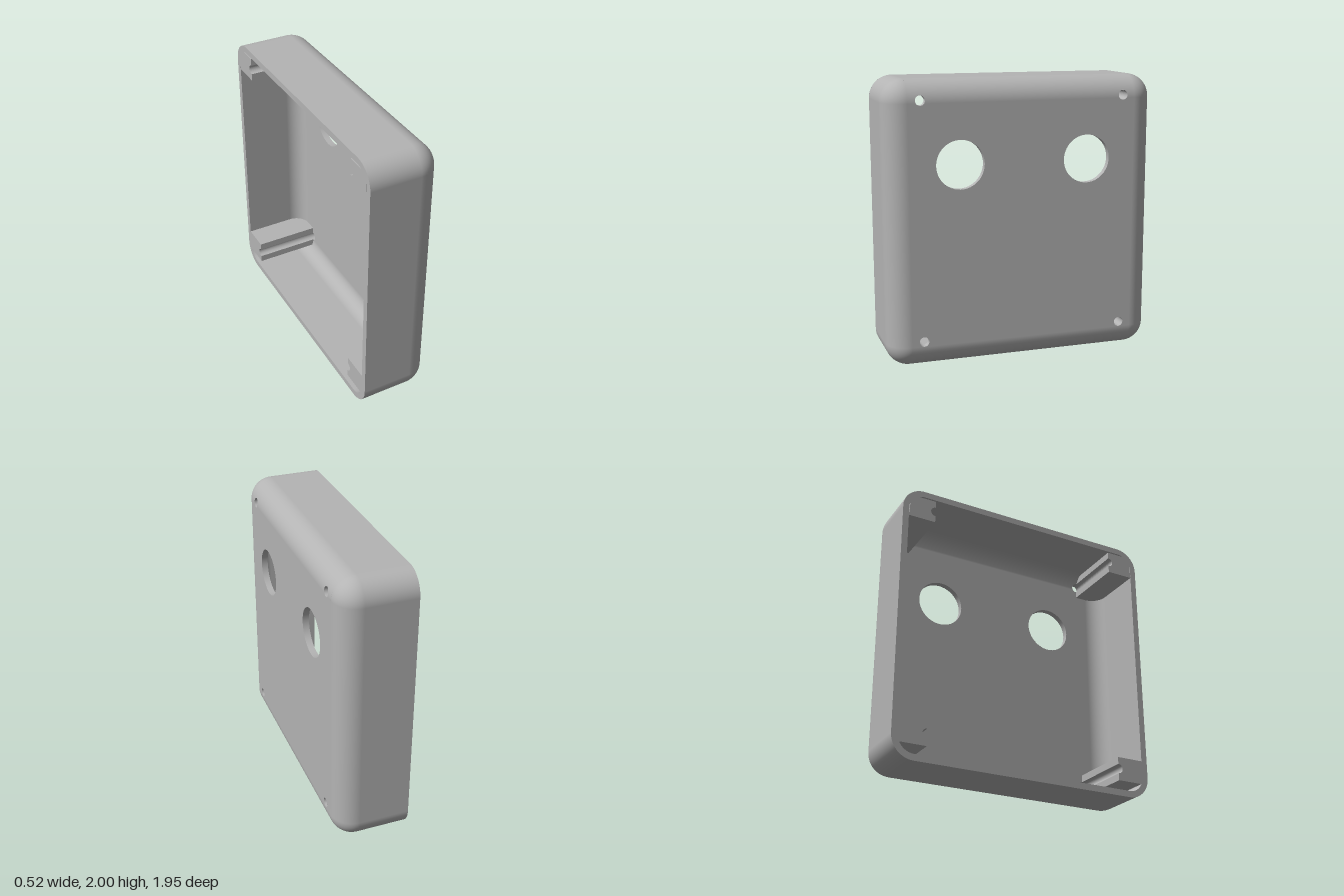
import * as THREE from 'three';

// Local frame: u across, y up, w towards the closed panel (turned to +x at the end)
const CU = 0.815, Y0 = 0.16, Y1 = 1.84, CW = 0.10;   // core that the fillets roll around
const BACK = -0.26, R_OUT = 0.16, R_IN = 0.115;      // open edge, outer and inner radii
const HOLE = 0.034, HU = 0.73, HY_TOP = 1.86, HY_LOW = 0.195;
const PORT = 0.17, PU = 0.458, PY = 1.42;

// Grid surface from fn(row, col) -> [x, y, z, nx, ny, nz]
function grid(rows, cols, fn, flip = false, skip = () => false) {
  const pos = [], nor = [], idx = [], k = flip ? -1 : 1;
  for (let i = 0; i <= rows; i++) for (let j = 0; j <= cols; j++) {
    const [x, y, z, a, b, c] = fn(i, j);
    pos.push(x, y, z);
    nor.push(a * k, b * k, c * k);
  }
  for (let i = 0; i < rows; i++) for (let j = 0; j < cols; j++) {
    if (skip(j)) continue;
    const a = i * (cols + 1) + j, b = a + 1, d = a + cols + 1, c = d + 1;
    if (flip) idx.push(a, c, b, a, d, c);
    else idx.push(a, b, c, a, c, d);
  }
  const g = new THREE.BufferGeometry();
  g.setAttribute('position', new THREE.Float32BufferAttribute(pos, 3));
  g.setAttribute('normal', new THREE.Float32BufferAttribute(nor, 3));
  g.setIndex(idx);
  return g;
}

// Row 0 is the open edge, the remaining rows sweep the fillet
const sweep = (i, n) => {
  const t = i === 0 ? 0 : ((i - 1) / (n - 1)) * Math.PI / 2;
  return [Math.cos(t), Math.sin(t), i === 0];
};

// Sides and rounded corners, all but the top straight run
function sideSkin(r, flip) {
  const ring = [], N = 14, rows = 15;
  [[-CU, Y1, 1], [-CU, Y0, 2], [CU, Y0, 3], [CU, Y1, 4]].forEach(([u, y, q]) => {
    for (let k = 0; k <= N; k++) ring.push([u, y, (q + k / N) * Math.PI / 2]);
  });
  return grid(rows, ring.length - 1, (i, j) => {
    const [c, s, edge] = sweep(i, rows), [u, y, a] = ring[j];
    const nx = c * Math.cos(a), ny = c * Math.sin(a);
    return [u + r * nx, y + r * ny, edge ? BACK : CW + r * s, nx, ny, s];
  }, flip);
}

// Top straight run, split around the screw holes that bite into the fillet
function topSkin(r, flip) {
  const rows = 81;
  return grid(rows, 5, (i, j) => {
    const [c, s, edge] = sweep(i, rows), y = Y1 + r * c;
    const h = Math.sqrt(Math.max(0, HOLE ** 2 - (y - HY_TOP) ** 2));
    const u = [CU, HU + h, HU - h, -HU + h, -HU - h, -CU][j];
    return [u, y, edge ? BACK : CW + r * s, 0, c, s];
  }, flip, j => j % 2 === 1);
}

const circle = (u, y, r) => new THREE.Path().absarc(u, y, r, 0, Math.PI * 2);

// Flat panel with ports, lower screw holes and notches for the upper ones
function panelGeometry() {
  const s = new THREE.Shape();
  const a = Math.asin((Y1 - HY_TOP) / HOLE);
  s.moveTo(-CU, Y0);
  s.lineTo(CU, Y0);
  s.lineTo(CU, Y1);
  for (const u of [HU, -HU]) s.absarc(u, HY_TOP, HOLE, a, -Math.PI - a, true);
  s.lineTo(-CU, Y1);
  for (const m of [-1, 1]) {
    s.holes.push(circle(m * PU, PY, PORT), circle(m * HU, HY_LOW, HOLE));
  }
  return new THREE.ShapeGeometry(s, 32);
}

function roundedRect(target, r) {
  target.absarc(CU, Y1, r, 0, Math.PI / 2);
  target.absarc(-CU, Y1, r, Math.PI / 2, Math.PI);
  target.absarc(-CU, Y0, r, Math.PI, Math.PI * 1.5);
  target.absarc(CU, Y0, r, Math.PI * 1.5, Math.PI * 2);
  target.closePath();
  return target;
}

// Inward facing wall of a hole through the panel
function holeWall(u, y, r) {
  const depth = (yy, R) => CW + Math.sqrt(R * R - Math.max(0, yy - Y1) ** 2);
  return grid(1, 48, (i, j) => {
    const a = j / 48 * Math.PI * 2, c = Math.cos(a), s = Math.sin(a), yy = y + r * s;
    return [u + r * c, yy, depth(yy, i ? R_OUT : R_IN), c, s, 0];
  }, true);
}

// Corner post with a half-round screw groove, trimmed to stay within the shell
function postGeometry(m, yc) {
  const h = 0.085, s = new THREE.Shape();
  s.moveTo(m * HU, yc - h);
  for (const u of [0.8, 0.87, 0.93]) s.lineTo(m * u, yc - h);
  for (const u of [0.93, 0.87, 0.8, HU]) s.lineTo(m * u, yc + h);
  s.lineTo(m * HU, yc + HOLE);
  s.absarc(m * HU, yc, HOLE, Math.PI / 2, m > 0 ? -Math.PI / 2 : Math.PI * 1.5, m > 0);
  s.closePath();
  const g = new THREE.ExtrudeGeometry(s, {
    depth: 0.495, steps: 24, bevelEnabled: false, curveSegments: 16,
  }).translate(0, 0, BACK);
  const p = g.attributes.position, v = new THREE.Vector3(), core = new THREE.Vector3();
  for (let i = 0; i < p.count; i++) {
    v.fromBufferAttribute(p, i);
    core.set(THREE.MathUtils.clamp(v.x, -CU, CU), THREE.MathUtils.clamp(v.y, Y0, Y1), Math.min(v.z, CW));
    v.sub(core).clampLength(0, 0.14).add(core);
    p.setXYZ(i, v.x, v.y, v.z);
  }
  g.computeVertexNormals();
  return g;
}

export function createModel() {
  const grey = new THREE.MeshStandardMaterial({ color: 0xb4b4b4, side: THREE.DoubleSide });
  grey.name = 'plain grey';
  const shell = new THREE.Group();
  shell.name = 'enclosure';
  const add = (name, geometry) => {
    const mesh = new THREE.Mesh(geometry, grey);
    mesh.name = name;
    shell.add(mesh);
  };

  // Outer and inner skins
  add('outerSides', sideSkin(R_OUT, false));
  add('outerTop', topSkin(R_OUT, false));
  add('outerPanel', panelGeometry().translate(0, 0, CW + R_OUT));
  add('innerSides', sideSkin(R_IN, true));
  add('innerTop', topSkin(R_IN, true));
  add('innerPanel', panelGeometry().rotateY(Math.PI).translate(0, 0, CW + R_IN));

  // Open rim
  const rim = roundedRect(new THREE.Shape(), R_OUT);
  rim.holes.push(roundedRect(new THREE.Path(), R_IN));
  add('rim', new THREE.ShapeGeometry(rim, 14).rotateY(Math.PI).translate(0, 0, BACK));

  // Ports, screw holes and corner posts
  for (const m of [-1, 1]) {
    add('portWall', holeWall(m * PU, PY, PORT));
    for (const y of [HY_LOW, HY_TOP]) {
      add('screwHoleWall', holeWall(m * HU, y, HOLE));
      add('screwPost', postGeometry(m, y));
    }
  }

  shell.rotation.y = Math.PI / 2;
  const model = new THREE.Group();
  model.name = 'enclosureModel';
  model.add(shell);
  return model;
}
